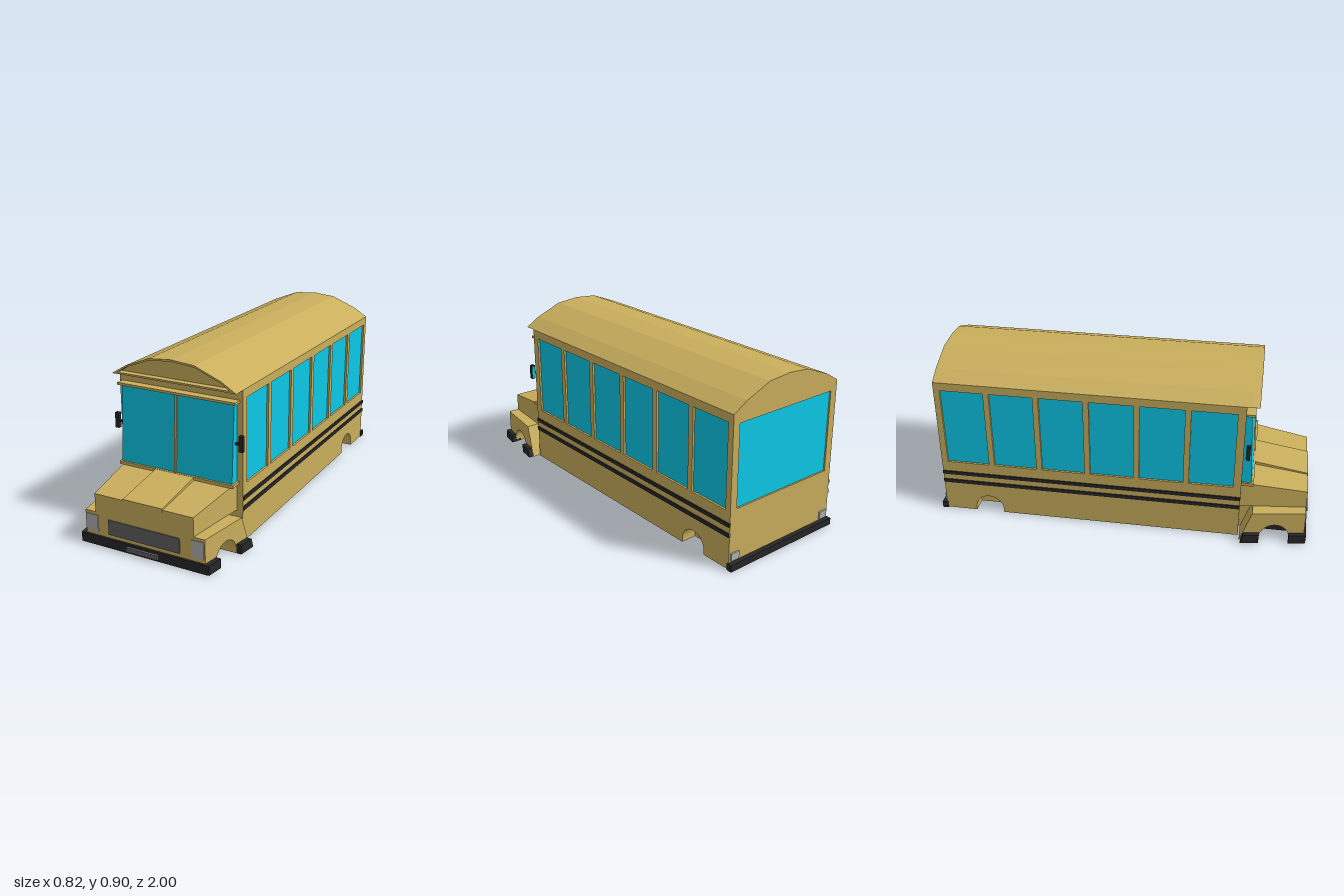
import * as THREE from 'three';

const mat = (color) => new THREE.MeshStandardMaterial({ color, flatShading: true });
const YELLOW = mat(0xc9ae5c), GLASS = mat(0x0cc8e8), BLACK = mat(0x262626);
const DARK_GREY = mat(0x606060), LIGHT_GREY = mat(0xb0b0b0);

const BODY_X = 0.345, BACK = -0.975, FRONT = 0.632, NOSE = 0.976, EAVE = 0.785;
const LOW = 0.002; // clearance above the floor sheet
const REAR_AXLE = -0.728, FRONT_AXLE = 0.82, ARCH_R = 0.077, WELL_X = 0.26;

export function createModel() {
  const bus = new THREE.Group();
  bus.name = 'schoolBus';

  const add = (name, geometry, material) => {
    const mesh = new THREE.Mesh(geometry, material);
    mesh.name = name;
    bus.add(mesh);
    return mesh;
  };

  // Box from its limits, optionally reshaped by a rule on its corners
  const block = (name, material, [x0, x1], [y0, y1], [z0, z1], warp) => {
    const g = new THREE.BoxGeometry(x1 - x0, y1 - y0, z1 - z0);
    g.translate((x0 + x1) / 2, (y0 + y1) / 2, (z0 + z1) / 2);
    if (warp) reshape(g, warp);
    return add(name, g, material);
  };
  const reshape = (g, warp) => {
    const p = g.attributes.position, v = new THREE.Vector3();
    for (let i = 0; i < p.count; i++) {
      v.fromBufferAttribute(p, i);
      warp(v);
      p.setXYZ(i, v.x, v.y, v.z);
    }
    g.computeVertexNormals();
  };
  const span = (s, a, b) => (s > 0 ? [a, b] : [-b, -a]);
  const polygon = (pts) => new THREE.Shape(pts.map(([x, y]) => new THREE.Vector2(x, y)));
  const rectangle = (x0, x1, y0, y1) => polygon([[x0, y0], [x1, y0], [x1, y1], [x0, y1]]);
  const extrude = (shape, depth) =>
    new THREE.ExtrudeGeometry(shape, { depth, bevelEnabled: false, curveSegments: 7 });

  // Side panel drawn in (z, y), thickened inward from the outer surface x = outer(z)
  const sidePanel = (name, material, shape, thickness, s, outer) => {
    const g = extrude(shape, thickness);
    g.rotateY(-Math.PI / 2);
    if (s < 0) g.translate(thickness, 0, 0);
    reshape(g, (v) => { v.x += s * outer(v.z); });
    return add(name, g, material);
  };
  const cutArch = (shape, z) => {
    shape.lineTo(z - ARCH_R, LOW);
    shape.absarc(z, 0.023, ARCH_R, Math.PI, 0, true);
    shape.lineTo(z + ARCH_R, LOW);
  };

  const bodyX = () => BODY_X;
  const fenderX = (z) => 0.335 + (NOSE - z) * 0.15;
  const skirtX = (z) => fenderX(z) + 0.026;

  for (const s of [1, -1]) {
    const side = s > 0 ? 'left' : 'right';

    // Upper side wall with six window openings
    const wall = rectangle(BACK, FRONT, 0.15, EAVE);
    for (let i = 0; i < 6; i++) {
      const z = -0.942 + i * 0.2605;
      wall.holes.push(rectangle(z, z + 0.23, 0.305, 0.74));
      block(`${side}Window${i + 1}`, GLASS, span(s, 0.32, 0.334), [0.3, 0.745], [z - 0.005, z + 0.235]);
    }
    sidePanel(`${side}Wall`, YELLOW, wall, 0.02, s, bodyX);

    // Lower side with the rear wheel arch
    const sill = new THREE.Shape();
    sill.moveTo(BACK, LOW);
    cutArch(sill, REAR_AXLE);
    sill.lineTo(FRONT, LOW);
    sill.lineTo(FRONT, 0.15);
    sill.lineTo(BACK, 0.15);
    sidePanel(`${side}Sill`, YELLOW, sill, BODY_X - WELL_X, s, bodyX);

    // Stripes
    for (const y of [0.173, 0.226])
      block(`${side}Stripe`, BLACK, span(s, 0.34, 0.351), [y, y + 0.02], [BACK, FRONT]);

    // Front fender, tapering towards the nose
    const fender = new THREE.Shape();
    fender.moveTo(0.64, LOW);
    cutArch(fender, FRONT_AXLE);
    fender.lineTo(NOSE, LOW);
    fender.lineTo(NOSE, 0.173);
    fender.lineTo(0.7, 0.173);
    sidePanel(`${side}Fender`, YELLOW, fender, 0.12, s, fenderX);
    block(`${side}WheelWellLining`, BLACK, span(s, 0.2, 0.268), [LOW, 0.115], [0.73, 0.91]);

    // Bumper ends wrapping the fender, before and behind the wheel arch
    sidePanel(`${side}BumperEnd`, BLACK, rectangle(FRONT_AXLE + ARCH_R, 0.985, 0.001, 0.05), 0.06, s, skirtX);
    const skirt = polygon([[0.647, 0.001], [0.742, 0.001], [0.742, 0.05], [0.66, 0.05]]);
    sidePanel(`${side}FenderSkirt`, BLACK, skirt, 0.06, s, skirtX);

    // Lamps
    block(`${side}Headlight`, LIGHT_GREY, span(s, 0.262, 0.328), [0.07, 0.158], [0.96, 0.98]);
    block(`${side}TailLight`, LIGHT_GREY, span(s, 0.285, 0.335), [0.045, 0.085], [-0.984, -0.96]);

    // Wing mirror on its arm
    block(`${side}MirrorArm`, BLACK, span(s, 0.31, 0.345), [0.517, 0.528], [0.645, 0.655]);
    block(`${side}Mirror`, BLACK, span(s, 0.34, 0.362), [0.488, 0.568], [0.645, 0.665]);
    block(`${side}MirrorGlass`, GLASS, span(s, 0.343, 0.359), [0.494, 0.562], [0.643, 0.647]);
  }

  // Lower core, front bulkhead and rear wall with its window
  block('lowerCore', YELLOW, [-WELL_X, WELL_X], [LOW, 0.15], [-0.97, 0.63]);
  block('frontBulkhead', YELLOW, [-BODY_X, BODY_X], [0.05, EAVE], [0.6, FRONT]);
  const rear = rectangle(-BODY_X, BODY_X, LOW, EAVE);
  rear.holes.push(rectangle(-0.305, 0.305, 0.31, 0.735));
  add('rearWall', extrude(rear, 0.02), YELLOW).position.z = BACK;
  block('rearWindow', GLASS, [-0.31, 0.31], [0.305, 0.74], [-0.967, -0.955]);
  block('rearBumper', BLACK, [-0.352, 0.352], [0.001, 0.037], [-1, -0.97]);

  // Faceted arched roof, with a recessed visor over the windscreen
  const arch = [[BODY_X, EAVE], [0.268, 0.832], [0.126, 0.889], [0, 0.9],
    [-0.126, 0.889], [-0.268, 0.832], [-BODY_X, EAVE]];
  add('roof', extrude(polygon(arch), 0.66 - BACK), YELLOW).position.z = BACK;
  const visor = polygon(arch);
  visor.holes.push(polygon([[0.312, 0.794], [0.265, 0.824], [0.124, 0.88], [0, 0.89],
    [-0.124, 0.88], [-0.265, 0.824], [-0.312, 0.794]]));
  add('roofVisor', extrude(visor, 0.036), YELLOW).position.z = 0.66;

  // Raked windscreen with centre post and ledges
  const rake = (v) => { if (v.z > 0.64) v.z -= (v.y - 0.32) * 0.06; };
  block('windscreen', GLASS, [-0.315, 0.315], [0.32, 0.725], [0.63, 0.684], rake);
  block('windscreenPost', YELLOW, [-0.006, 0.006], [0.32, 0.725], [0.63, 0.69], rake);
  block('windscreenTopLedge', YELLOW, [-0.33, 0.33], [0.722, 0.734], [0.62, 0.678]);
  block('windscreenBottomLedge', YELLOW, [-0.325, 0.325], [0.308, 0.324], [0.62, 0.695]);

  // Nose block, sloping bonnet and its raised centre panel
  block('noseBlock', YELLOW, [-WELL_X, WELL_X], [LOW, 0.175], [0.62, NOSE]);
  block('bonnet', YELLOW, [-0.315, 0.315], [0.17, 0.31], [0.62, NOSE], (v) => {
    if (v.z > 0.9) {
      v.x *= 0.275 / 0.315;
      if (v.y > 0.2) v.y = 0.27;
    } else if (v.y > 0.2) v.y = 0.317;
  });
  block('bonnetPanel', YELLOW, [-0.11, 0.11], [0.26, 0.277], [0.68, NOSE + 0.002], (v) => {
    if (v.z < 0.8) v.y += 0.048;
  });
  block('grille', DARK_GREY, [-0.2, 0.2], [0.07, 0.148], [0.96, 0.981]);
  block('frontBumper', BLACK, [-0.355, 0.355], [0.001, 0.05], [0.95, 0.987]);
  block('bumperPlate', DARK_GREY, [-0.088, 0.088], [0.014, 0.038], [0.97, 1]);

  // Black floor sheet, notched around the wheel wells
  const half = [
    [BODY_X, BACK], [BODY_X, REAR_AXLE - ARCH_R], [WELL_X, REAR_AXLE - ARCH_R],
    [WELL_X, REAR_AXLE + ARCH_R], [BODY_X, REAR_AXLE + ARCH_R], [BODY_X, 0.64], [0.385, 0.647],
    [0.37, FRONT_AXLE - ARCH_R], [WELL_X, FRONT_AXLE - ARCH_R], [WELL_X, FRONT_AXLE + ARCH_R],
    [0.346, FRONT_AXLE + ARCH_R], [0.335, NOSE],
  ];
  const outline = [...half, ...half.map(([x, z]) => [-x, z]).reverse()];
  const floor = new THREE.ShapeGeometry(polygon(outline));
  floor.rotateX(Math.PI / 2);
  add('floor', floor, BLACK);

  return bus;
}
